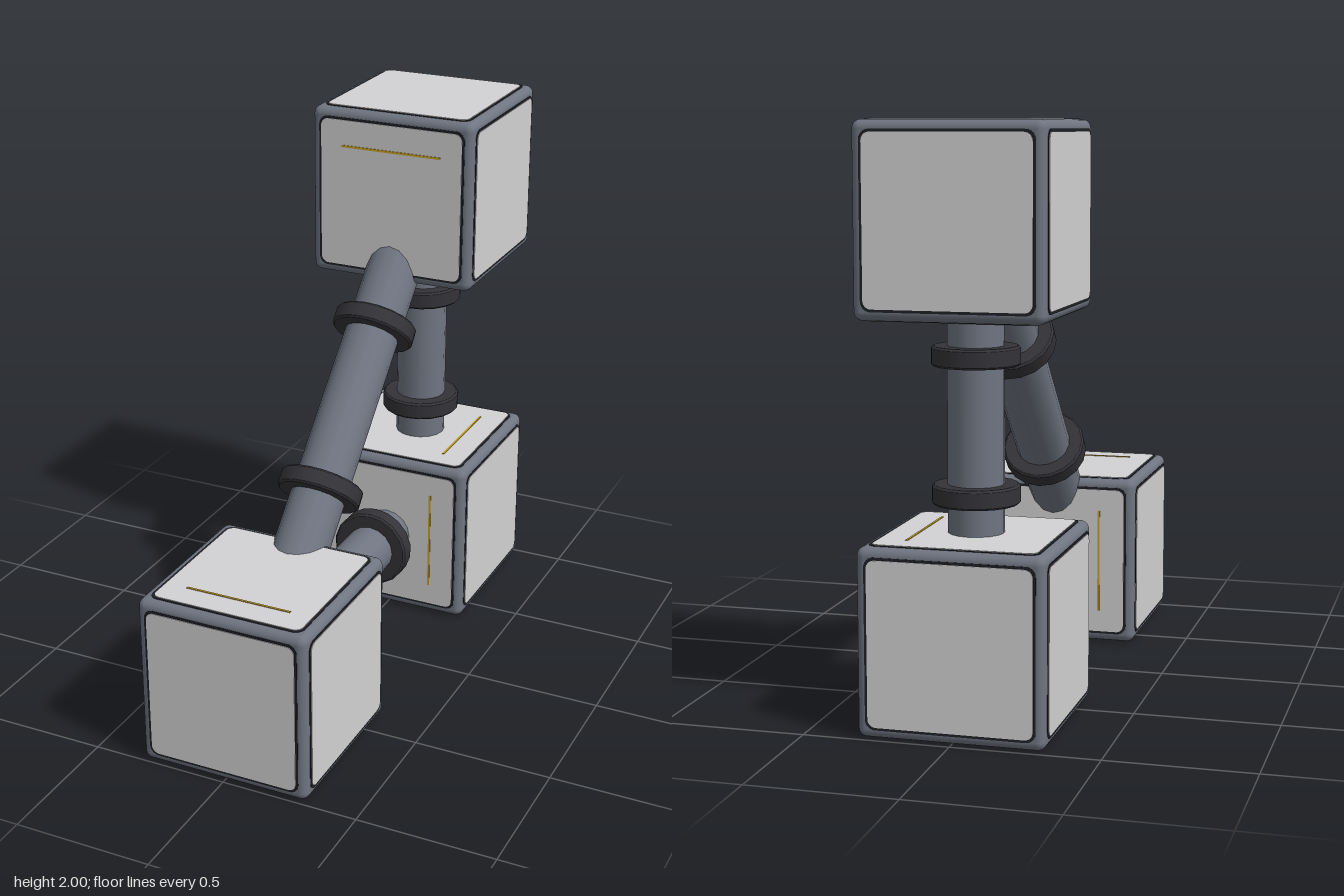
import * as THREE from 'three';
import { RoundedBoxGeometry } from 'three/addons/geometries/RoundedBoxGeometry.js';

const mat = (name, color) => {
  const m = new THREE.MeshStandardMaterial({ color });
  m.name = name;
  return m;
};

export function createModel() {
  const steel = mat('steel', 0x6f7581);
  const panelGrey = mat('panel grey', 0xd2d2d4);
  const gapDark = mat('gap dark', 0x1e2026);
  const rubber = mat('rubber', 0x333338);
  const gold = mat('gold', 0xc9a227);

  const model = new THREE.Group();
  model.name = 'linkedCubes';

  const add = (parent, name, geometry, material) => {
    const mesh = new THREE.Mesh(geometry, material);
    mesh.name = name;
    parent.add(mesh);
    return mesh;
  };

  // Rounded square plate, its outer face at z = top
  const plate = (half, radius, top, depth) => {
    const s = new THREE.Shape();
    const k = half - radius;
    s.absarc(k, k, radius, 0, Math.PI / 2);
    s.absarc(-k, k, radius, Math.PI / 2, Math.PI);
    s.absarc(-k, -k, radius, Math.PI, Math.PI * 1.5);
    s.absarc(k, -k, radius, Math.PI * 1.5, Math.PI * 2);
    return new THREE.ExtrudeGeometry(s, { depth, bevelEnabled: false, curveSegments: 5 })
      .translate(0, 0, top - depth);
  };
  const frameGeo = new RoundedBoxGeometry(0.632, 0.632, 0.632, 4, 0.03);
  const gapGeo = plate(0.286, 0.034, 0.3175, 0.006);
  const panelGeo = plate(0.277, 0.028, 0.32, 0.008);

  // Cubes with an inset panel on each of the six faces
  const faces = [
    [0, 0], [0, Math.PI / 2], [0, Math.PI], [0, -Math.PI / 2],
    [-Math.PI / 2, 0], [Math.PI / 2, 0],
  ];
  const cube = (name, y, z) => {
    const g = new THREE.Group();
    g.name = name;
    g.position.set(0, y, z);
    add(g, 'frame', frameGeo, steel);
    for (const [rx, ry] of faces) {
      add(g, 'panelGap', gapGeo, gapDark).rotation.set(rx, ry, 0);
      add(g, 'panel', panelGeo, panelGrey).rotation.set(rx, ry, 0);
    }
    model.add(g);
    return g;
  };
  const front = cube('frontCube', 0.32, 0.68);
  const rear = cube('rearCube', 0.32, -0.68);
  const upper = cube('upperCube', 1.68, -0.68);

  // Thin accent lines on the faces that carry a tube
  const accent = (parent, size, pos) =>
    add(parent, 'accentLine', new THREE.BoxGeometry(...size), gold).position.set(...pos);
  const L = 0.39, W = 0.008, T = 0.006, F = 0.3195, D = 0.18;
  accent(upper, [L, W, T], [0, D, F]);
  accent(front, [L, T, W], [0, F, D]);
  accent(rear, [W, T, L], [D, F, 0]);
  accent(upper, [W, T, L], [D, -F, 0]);
  accent(rear, [W, L, T], [D, 0, F]);
  accent(front, [W, L, T], [-D, 0, -F]);

  // Bevelled collar ring, with doubled points to keep its edges sharp
  const collar = (r) => {
    const i = 0.08, h = 0.033, b = 0.007;
    const pts = [[i, -h], [r - b, -h], [r, -h + b], [r, h - b], [r - b, h], [i, h]];
    const profile = [];
    for (let n = 0; n < pts.length - 1; n++) {
      const [a, c] = [pts[n], pts[n + 1]].map((p) => new THREE.Vector2(...p));
      // Tiny offset separates the normals of neighbouring bands
      profile.push(a.clone().lerp(c, 0.01), a.clone().lerp(c, 0.99));
    }
    return new THREE.LatheGeometry(profile, 18);
  };

  // Tube with two collars, running between two cubes
  const link = (name, a, b, radius, collarRadius, collarOffset) => {
    const g = new THREE.Group();
    g.name = name;
    const dir = b.position.clone().sub(a.position);
    const length = dir.length() - 0.6;
    g.position.copy(a.position).add(b.position).multiplyScalar(0.5);
    g.quaternion.setFromUnitVectors(new THREE.Vector3(0, 1, 0), dir.normalize());
    add(g, 'tube', new THREE.CylinderGeometry(radius, radius, length, 16), steel);
    for (const s of [-1, 1]) {
      add(g, 'collar', collar(collarRadius), rubber).position.y = s * collarOffset;
    }
    model.add(g);
  };
  link('verticalLink', rear, upper, 0.095, 0.148, 0.23);
  link('horizontalLink', rear, front, 0.095, 0.148, 0.23);
  link('diagonalLink', front, upper, 0.1, 0.153, 0.325);

  return model;
}
